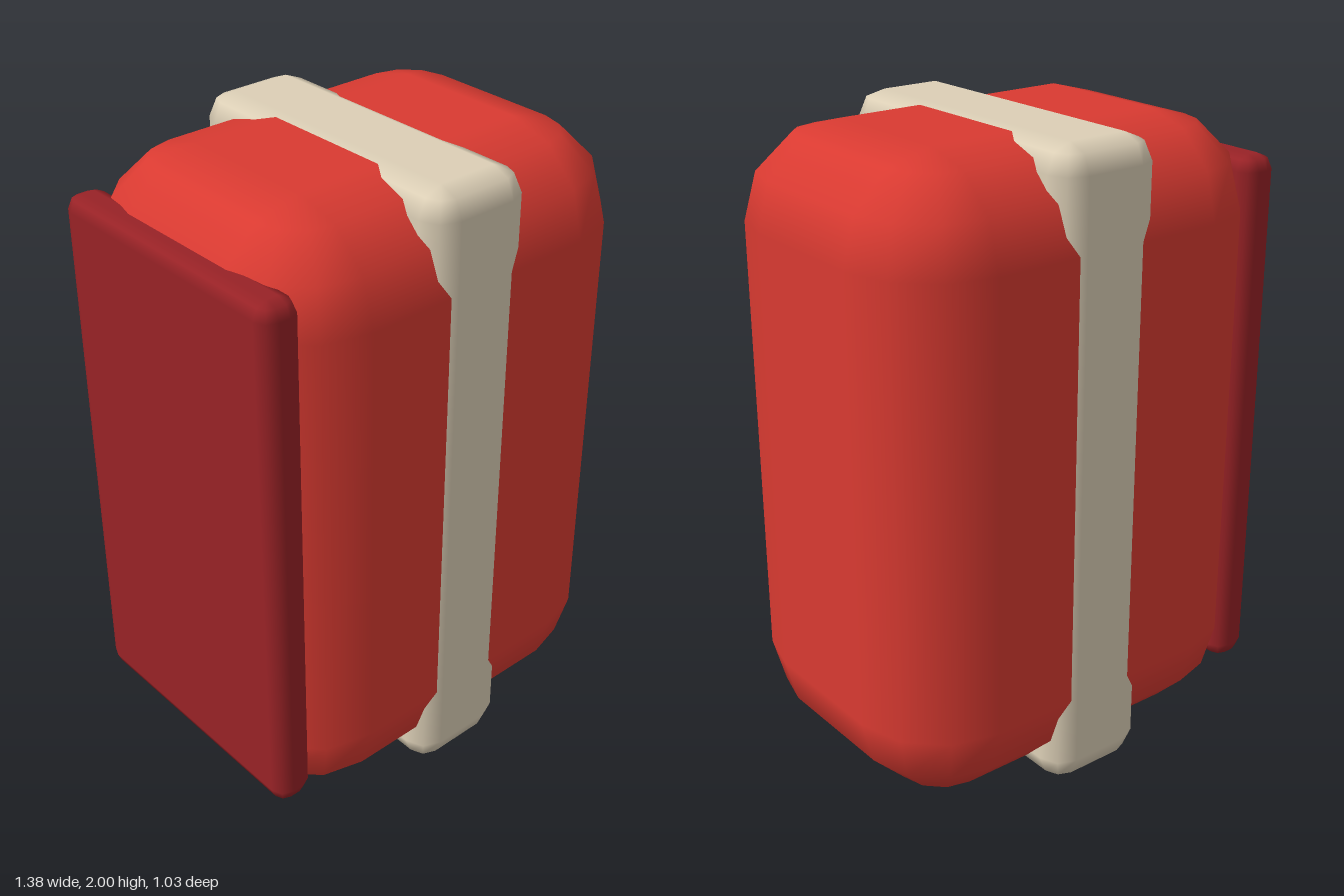
import * as THREE from 'three';

// Box with rounded edges: n facets per quarter turn, radius r, smooth normals, flat sides
function roundedBox(w, h, d, r, n) {
  const pos = [], nor = [], idx = [];
  const q = Math.PI / 2 / n;
  const ix = w / 2 - r, iy = h / 2 - r, iz = d / 2 - r;
  const cols = 4 * (n + 1), rows = 2 * (n + 1);
  for (let j = 0; j < rows; j++) {
    const top = j > n;
    const lat = -Math.PI / 2 + (top ? j - 1 : j) * q;
    for (let i = 0; i < cols; i++) {
      const corner = Math.floor(i / (n + 1));
      const a = (i - corner) * q;
      const sx = corner === 0 || corner === 3 ? 1 : -1;
      const sz = corner < 2 ? 1 : -1;
      const nx = Math.cos(lat) * Math.cos(a);
      const ny = Math.sin(lat);
      const nz = Math.cos(lat) * Math.sin(a);
      pos.push(sx * ix + nx * r, (top ? iy : -iy) + ny * r, sz * iz + nz * r);
      nor.push(nx, ny, nz);
    }
  }
  // Side bands
  for (let j = 0; j < rows - 1; j++) {
    for (let i = 0; i < cols; i++) {
      const k = (i + 1) % cols;
      const a = j * cols + i, b = j * cols + k, c = a + cols, e = b + cols;
      idx.push(a, c, b, b, c, e);
    }
  }
  // Bottom and top caps, one vertex per corner
  const p = [0, 1, 2, 3].map((c) => c * (n + 1));
  const t = p.map((v) => v + (rows - 1) * cols);
  idx.push(p[0], p[1], p[2], p[0], p[2], p[3]);
  idx.push(t[0], t[2], t[1], t[0], t[3], t[2]);
  const g = new THREE.BufferGeometry();
  g.setAttribute('position', new THREE.Float32BufferAttribute(pos, 3));
  g.setAttribute('normal', new THREE.Float32BufferAttribute(nor, 3));
  g.setIndex(idx);
  return g;
}

export function createModel() {
  const group = new THREE.Group();
  const material = (name, color) => {
    const m = new THREE.MeshStandardMaterial({ color });
    m.name = name;
    return m;
  };
  const add = (name, geometry, mat, x) => {
    const mesh = new THREE.Mesh(geometry, mat);
    mesh.name = name;
    mesh.position.set(x, 1, 0);
    group.add(mesh);
  };

  // Soft red pack body
  add('body', roundedBox(1.364, 1.98, 1.012, 0.29, 3), material('red', 0xd93a31), 0.01);
  // Cream strap wrapped around the middle
  add('strap', roundedBox(0.35, 2, 1.028, 0.08, 2), material('cream', 0xdccfb6), 0.01);
  // Dark red panel on the right side
  add('sidePanel', roundedBox(0.128, 1.704, 0.908, 0.047, 2), material('dark red', 0x982226), -0.628);

  return group;
}
